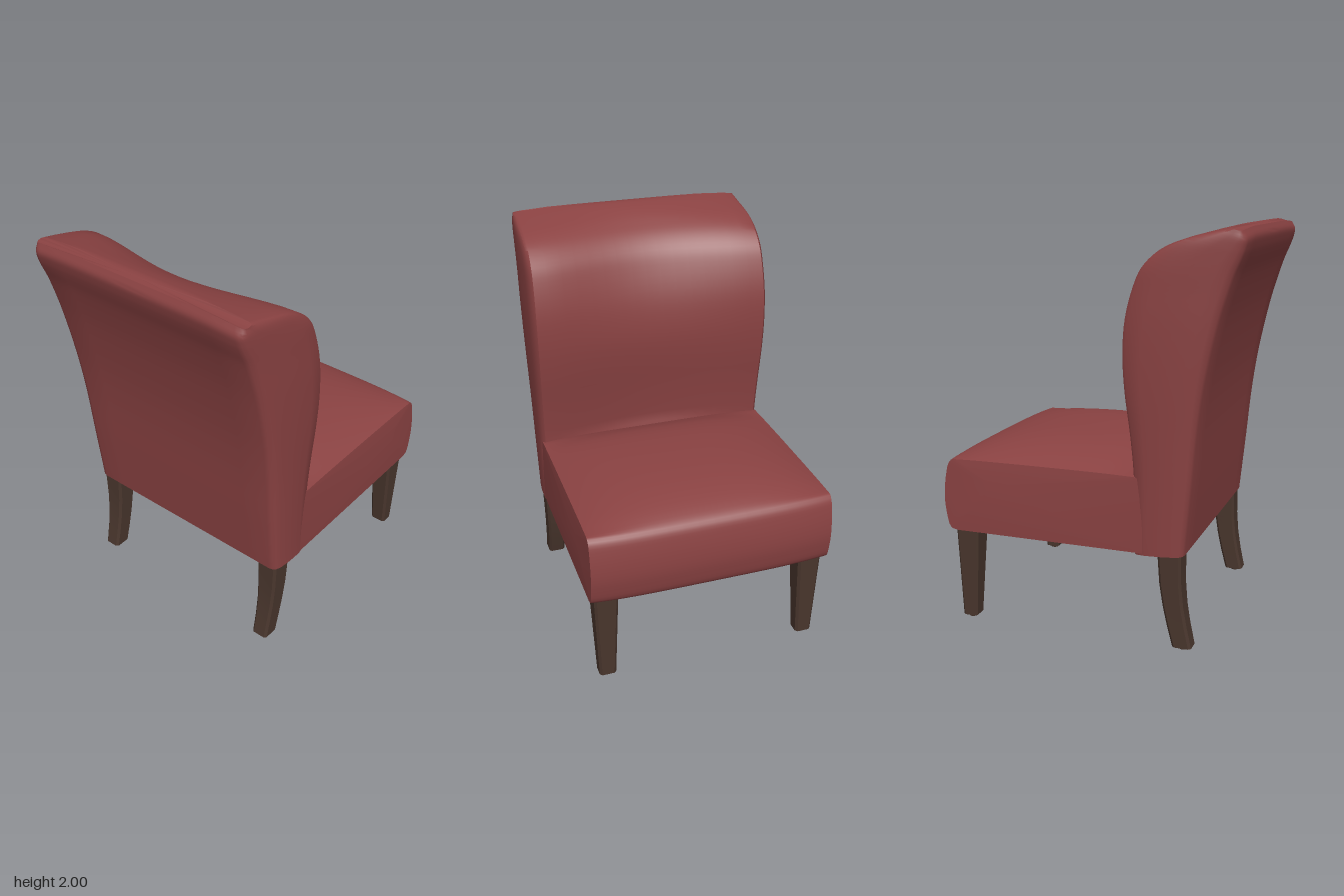
import * as THREE from 'three';
import { toCreasedNormals } from 'three/addons/utils/BufferGeometryUtils.js';

const fabric = new THREE.MeshStandardMaterial({ color: 0x8a4242 });
fabric.name = 'red fabric';
const wood = new THREE.MeshStandardMaterial({ color: 0x49362d });
wood.name = 'dark wood';

// Skin a list of equal-length closed rings and cap both ends with fans.
function loft(rings, capBulge = new THREE.Vector3(), crease = 0.7) {
  const n = rings[0].length, pos = [], tri = [];
  rings.forEach(r => r.forEach(p => pos.push(p.x, p.y, p.z)));
  for (let i = 0; i < rings.length - 1; i++) {
    for (let j = 0; j < n; j++) {
      const k = (j + 1) % n, a = i * n + j, b = i * n + k;
      tri.push([a, b, b + n], [a, b + n, a + n]);
    }
  }
  [[0, -1], [rings.length - 1, 1]].forEach(([i, s]) => {
    const c = new THREE.Vector3();
    rings[i].forEach(p => c.addScaledVector(p, 1 / n));
    c.addScaledVector(capBulge, s);
    const m = pos.push(c.x, c.y, c.z) / 3 - 1;
    for (let j = 0; j < n; j++) {
      const a = i * n + j, b = i * n + (j + 1) % n;
      tri.push(s < 0 ? [m, b, a] : [m, a, b]);
    }
  });
  // Turn the faces outward whichever way the rings run.
  const at = i => new THREE.Vector3().fromArray(pos, i * 3);
  const volume = tri.reduce((v, [a, b, c]) => v + at(a).dot(at(b).cross(at(c))), 0);
  const geo = new THREE.BufferGeometry();
  geo.setAttribute('position', new THREE.Float32BufferAttribute(pos, 3));
  geo.setIndex(tri.flatMap(([a, b, c]) => (volume < 0 ? [a, c, b] : [a, b, c])));
  return toCreasedNormals(geo, crease);
}

const smooth = (pts, n) =>
  new THREE.CatmullRomCurve3(pts.map(p => new THREE.Vector3(...p)), false, 'centripetal').getPoints(n);

// Backrest: tilted cross-sections climbing from the base to the rolled top.
function backrest() {
  // seat-side z, seat-side y, half width
  const inner = smooth([
    [0.26, 0.47, 0.612], [0.255, 0.85, 0.62], [0.238, 1.05, 0.626], [0.213, 1.25, 0.632],
    [0.204, 1.42, 0.635], [0.215, 1.58, 0.635], [0.25, 1.72, 0.632], [0.29, 1.81, 0.63],
    [0.36, 1.885, 0.627], [0.45, 1.935, 0.624], [0.59, 1.975, 0.618], [0.69, 1.998, 0.61]], 44);
  // outer z, outer y
  const outer = smooth([
    [0.495, 0.48, 0], [0.525, 0.8, 0], [0.547, 1.05, 0], [0.573, 1.25, 0],
    [0.605, 1.42, 0], [0.642, 1.58, 0], [0.677, 1.7, 0], [0.707, 1.79, 0],
    [0.735, 1.86, 0], [0.75, 1.905, 0], [0.757, 1.95, 0], [0.738, 1.988, 0]], 44);
  const N = 16;
  const rings = inner.map((f, i) => {
    const b = outer[i], h = f.y, w = f.z, ring = [];
    const put = (x, s, hollow = 0) => ring.push(new THREE.Vector3(
      x * w,
      THREE.MathUtils.lerp(f.y, b.y, s) - 0.015 * Math.abs(x) ** 6 * (h > 1.8 ? (h - 1.8) / 0.2 : 0),
      THREE.MathUtils.lerp(f.x, b.x, s) + hollow));
    // The hollow across the front grows upward and fades into the top edge.
    const depth = (h < 0.8 ? 0.005 : 0.06 + 0.03 * THREE.MathUtils.smoothstep(h, 1.3, 1.8))
      * (1 - THREE.MathUtils.smoothstep(f.x, 0.38, 0.68));
    for (let k = 0; k <= N; k++) {
      const u = -1 + 2 * k / N;
      put(0.965 * u, 0, depth * Math.cos(u * Math.PI / 2) ** 1.5);
    }
    const side = [[0.985, 0.04], [1, 0.22], [1, 0.55], [0.992, 0.8], [0.978, 0.92], [0.955, 0.98]];
    side.forEach(([x, s]) => put(x, s));
    for (let k = 0; k <= 8; k++) put(0.92 - 1.84 * k / 8, 1);
    side.reverse().forEach(([x, s]) => put(-x, s));
    return ring;
  });
  return loft(rings, new THREE.Vector3(0, 0.004, 0));
}

// Seat: one side profile swept across the width, crowned in the middle.
function seat() {
  const top = smooth([
    [-0.69, 0.485, 0], [-0.725, 0.497, 0], [-0.748, 0.58, 0], [-0.754, 0.66, 0], [-0.742, 0.77, 0],
    [-0.722, 0.835, 0], [-0.67, 0.872, 0], [-0.5, 0.92, 0], [-0.2, 0.942, 0], [0.1, 0.922, 0],
    [0.26, 0.862, 0]], 40).map(p => [p.x, p.y]);
  const profile = [[0.3, 0.482], ...top, [0.3, 0.84]];
  const rings = [];
  for (let k = 0; k <= 24; k++) {
    const u = -Math.cos(Math.PI * k / 24), crown = 1 - Math.abs(u) ** 3;
    rings.push(profile.map(([z, y]) => new THREE.Vector3(
      0.612 * u,
      y > 0.85 ? 0.85 + (y - 0.85) * (0.06 + 0.94 * crown) : y,
      z < -0.6 ? z + 0.02 * u ** 4 : z)));
  }
  return loft(rings, new THREE.Vector3(0.013, 0, 0));
}

// Leg: chamfered square sections following [y, z, width x, depth z].
function leg(x, stations) {
  const rings = stations.map(([y, z, w, d]) => {
    const a = w / 2, b = d / 2, c = 0.012;
    return [[a, b - c], [a - c, b], [c - a, b], [-a, b - c], [-a, c - b], [c - a, -b], [a - c, -b], [a, c - b]]
      .map(([px, pz]) => new THREE.Vector3(x + px, y, z + pz));
  });
  return loft(rings, undefined, 0.5);
}

export function createModel() {
  const group = new THREE.Group();
  const add = (name, geo, mat) => {
    const mesh = new THREE.Mesh(geo, mat);
    mesh.name = name;
    group.add(mesh);
  };
  add('backrest', backrest(), fabric);
  add('seat', seat(), fabric);

  const rear = [[0.015, 0.487, 0.088, 0.094], [0.12, 0.462, 0.092, 0.098], [0.22, 0.443, 0.098, 0.102],
    [0.33, 0.43, 0.106, 0.108], [0.5, 0.424, 0.118, 0.116]];
  const front = [[0.015, -0.64, 0.085, 0.076], [0.5, -0.63, 0.122, 0.122]];
  [['left', 1], ['right', -1]].forEach(([side, s]) => {
    add(side + 'RearLeg', leg(s * 0.537, rear), wood);
    add(side + 'FrontLeg', leg(s * 0.53, front), wood);
    // Small glides under the feet
    [[0.537, 0.487], [0.53, -0.64]].forEach(([x, z]) => {
      const glide = new THREE.CylinderGeometry(0.026, 0.022, 0.018, 12);
      glide.translate(s * x, 0.009, z);
      add(side + 'Glide', glide, wood);
    });
  });
  return group;
}
